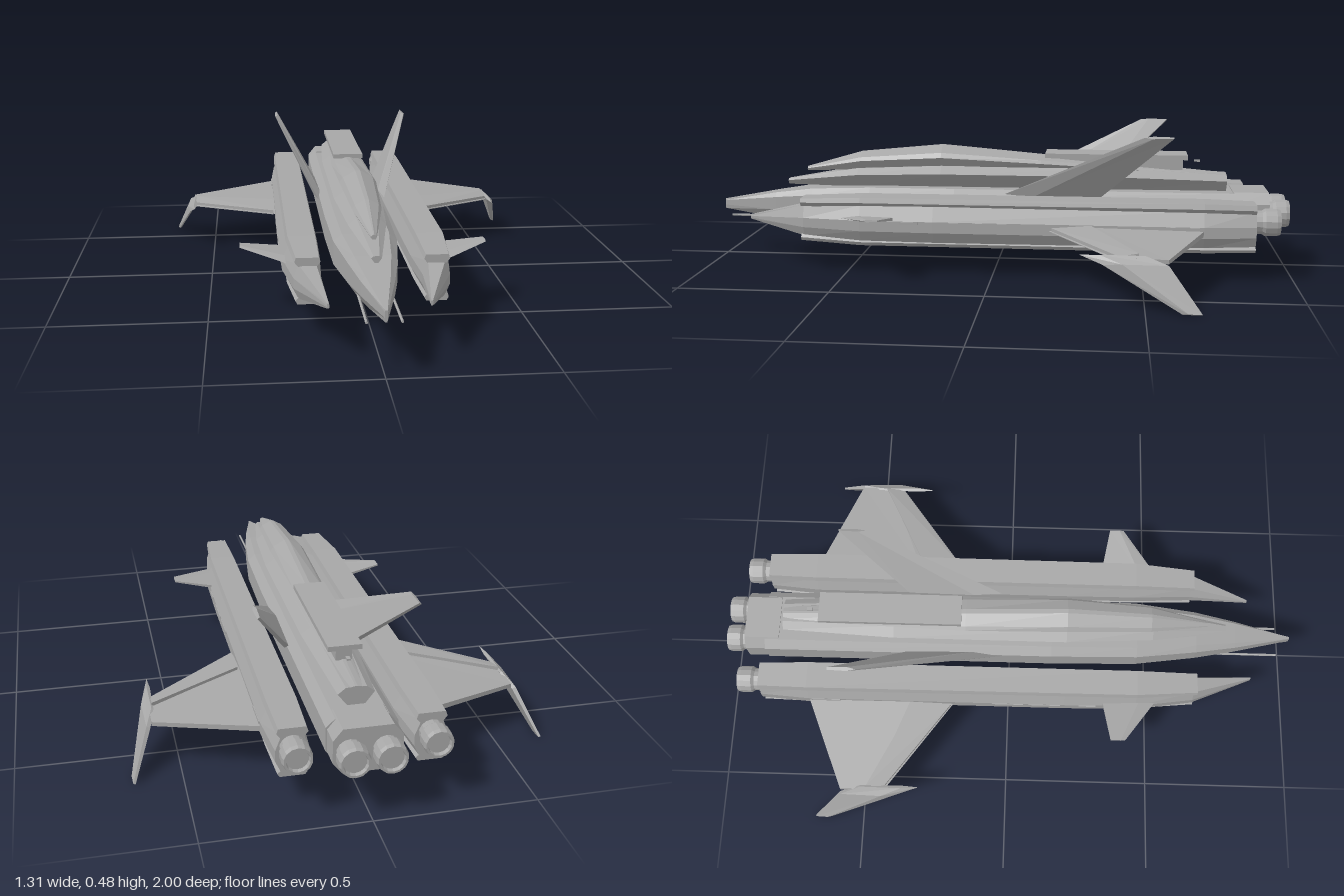
import * as THREE from 'three';

const hull = new THREE.MeshStandardMaterial({ color: 0xa6a6a6, flatShading: true });
hull.name = 'hull grey';

// Skin a list of closed rings ([x, y, z] points), cap both ends and face everything outward.
function loft(rings) {
  const n = rings[0].length, tris = [];
  for (let r = 0; r < rings.length - 1; r++) {
    const a = rings[r], b = rings[r + 1];
    for (let i = 0; i < n; i++) {
      const j = (i + 1) % n;
      tris.push([a[i], b[i], b[j]], [a[i], b[j], a[j]]);
    }
  }
  const centre = ring => [0, 1, 2].map(k => ring.reduce((s, p) => s + p[k], 0) / n);
  const first = rings[0], last = rings[rings.length - 1];
  const cf = centre(first), cl = centre(last);
  for (let i = 0; i < n; i++) {
    const j = (i + 1) % n;
    tris.push([cf, first[i], first[j]], [cl, last[j], last[i]]);
  }
  const v = p => new THREE.Vector3(...p);
  const volume = tris.reduce((s, [a, b, c]) => s + v(a).sub(v(cf)).dot(v(b).sub(v(cf)).cross(v(c).sub(v(cf)))), 0);
  if (volume < 0) tris.forEach(t => t.reverse());
  const geo = new THREE.BufferGeometry();
  geo.setAttribute('position', new THREE.Float32BufferAttribute(tris.flat(2), 3));
  geo.computeVertexNormals();
  return geo;
}

// Mirror a half outline (bottom to top, x >= 0) into a full ring.
const full = half => [...half, ...half.slice().reverse().map(([x, y]) => [-x, y])];

// Sections are [z, centre x, width scale, bottom y, top y]; outline y runs from 0 to 1.
const body = (half, sections) => loft(sections.map(([z, cx, sx, y0, y1]) =>
  full(half).map(([x, y]) => [cx + x * sx, y0 + y * (y1 - y0), z])));

// A thin blade between two edges, each [x, y, z front, z back, half thickness], offset along (nx, ny).
const blade = (edges, nx, ny) => loft(edges.map(([x, y, zf, zb, t]) => {
  const zm = zf + (zb - zf) * 0.3;
  return [[x, y, zf], [x + nx * t, y + ny * t, zm], [x + nx * t * 0.6, y + ny * t * 0.6, zb],
    [x - nx * t * 0.6, y - ny * t * 0.6, zb], [x - nx * t, y - ny * t, zm]];
}));

const box = (w, h, d, x, y, z) => new THREE.BoxGeometry(w, h, d).translate(x, y, z);

export function createModel() {
  const model = new THREE.Group();
  model.name = 'spacecraft';
  const add = (name, geo) => {
    const mesh = new THREE.Mesh(geo, hull);
    mesh.name = name;
    model.add(mesh);
  };

  // Central fuselage
  const hullOutline = [[0.06, 0], [0.108, 0.37], [0.108, 0.84], [0.08, 1]];
  add('fuselage', body(hullOutline, [
    [1, 0, 0.04, 0.17, 0.205], [0.8, 0, 0.46, 0.143, 0.238], [0.66, 0, 0.7, 0.125, 0.258],
    [0.45, 0, 0.94, 0.107, 0.268], [0.15, 0, 1, 0.105, 0.27], [-0.86, 0, 1, 0.105, 0.27]]));

  // Stacked dorsal decks
  add('lowerDeck', body([[0.03, 0], [0.08, 0.7], [0.045, 1]], [
    [0.76, 0, 0.2, 0.265, 0.285], [0.5, 0, 0.75, 0.262, 0.33], [0.2, 0, 1, 0.262, 0.345],
    [-0.4, 0, 1, 0.262, 0.345], [-0.79, 0, 0.7, 0.262, 0.327]]));
  add('upperDeck', body([[0.035, 0], [0.062, 0.52], [0.05, 0.72], [0.008, 1]], [
    [0.69, 0, 0.15, 0.315, 0.33], [0.49, 0, 0.75, 0.325, 0.387], [0.2, 0, 1, 0.332, 0.415],
    [-0.15, 0, 1, 0.332, 0.385], [-0.79, 0, 0.45, 0.315, 0.33]]));
  add('dorsalPlate', box(0.106, 0.016, 0.49, 0, 0.387, -0.41));
  add('dorsalPlateMount', box(0.05, 0.04, 0.46, 0, 0.36, -0.41));
  add('dorsalSensor', box(0.012, 0.006, 0.02, 0, 0.37, -0.69));

  // Engine block
  add('engineBlock', body([[0.075, 0], [0.104, 0.25], [0.104, 0.75], [0.075, 1]],
    [[-0.81, 0, 1, 0.13, 0.274], [-0.93, 0, 1, 0.13, 0.274]]));

  // Nozzle with a flared lip and a recessed exhaust
  const nozzle = (x, y, z, r, length) => new THREE.LatheGeometry([
    [0, 0], [r * 0.85, 0], [r * 0.85, length * 0.3], [r, length * 0.42],
    [r, length * 0.85], [r * 0.92, length], [r * 0.78, length], [r * 0.72, length * 0.85], [0, length * 0.85],
  ].map(p => new THREE.Vector2(...p)), 14).rotateX(-Math.PI / 2).translate(x, y, z);

  for (const s of [1, -1]) {
    const side = s > 0 ? 'left' : 'right';
    const part = (name, geo) => add(side + name, geo);

    part('MainNozzle', nozzle(s * 0.054, 0.2, -0.92, 0.048, 0.08));
    part('Gun', new THREE.CylinderGeometry(0.004, 0.004, 0.3, 6).rotateX(Math.PI / 2).translate(s * 0.05, 0.156, 0.81));

    // Side pod with its inward-leaning nose
    const pod = [[0.042, 0], [0.063, 0.3], [0.063, 0.6], [0.04, 1]];
    part('Pod', body(pod, [
      [0.86, s * 0.148, 0.06, 0.165, 0.18], [0.65, s * 0.195, 0.66, 0.125, 0.232],
      [0.45, s * 0.205, 0.95, 0.117, 0.238], [0.2, s * 0.206, 1, 0.115, 0.24],
      [-0.7, s * 0.206, 1, 0.115, 0.24], [-0.87, s * 0.207, 0.8, 0.12, 0.24]]));
    part('PodTopRail', body([[0.038, 0], [0.052, 0.5], [0.046, 1]], [
      [0.66, s * 0.195, 0.75, 0.228, 0.255], [0.45, s * 0.203, 0.95, 0.23, 0.265],
      [-0.7, s * 0.206, 1, 0.23, 0.266], [-0.87, s * 0.207, 0.9, 0.23, 0.262]]));
    part('PodBottomRail', body([[0.042, 0], [0.05, 0.5], [0.036, 1]], [
      [0.66, s * 0.195, 0.75, 0.11, 0.132], [0.45, s * 0.203, 0.95, 0.1, 0.124],
      [-0.7, s * 0.206, 1, 0.1, 0.124], [-0.87, s * 0.207, 0.9, 0.104, 0.126]]));
    part('PodNozzle', nozzle(s * 0.207, 0.2, -0.865, 0.046, 0.085));

    // Slim slots along the outside of the pod
    for (const [z, length] of [[0.28, 0.06], [0.13, 0.11], [0, 0.11], [-0.64, 0.1]])
      part('PodSlot', box(0.006, 0.008, length, s * 0.269, 0.185, z));

    // Swept main wing, leading-edge strip and drooping winglet
    part('Wing', blade([[s * 0.24, 0.17, -0.17, -0.71, 0.015], [s * 0.58, 0.15, -0.42, -0.57, 0.011]], 0, 1));
    part('WingLeadingEdge', loft([[0.275, 0.172, -0.2, -0.33], [0.57, 0.154, -0.42, -0.48]].map(([x, y, zf, zb]) =>
      [[s * x, y - 0.008, zf], [s * x, y + 0.008, zf], [s * x, y + 0.019, zb], [s * x, y - 0.008, zb]])));
    part('Winglet', blade([[s * 0.57, 0.165, -0.3, -0.5, 0.006], [s * 0.59, 0.14, -0.37, -0.57, 0.011],
      [s * 0.648, 0.008, -0.61, -0.67, 0.006]], s * 0.9, 0.43));

    // Forward canard
    part('Canard', blade([[s * 0.24, 0.193, 0.525, 0.33, 0.009], [s * 0.397, 0.218, 0.41, 0.36, 0.004]], -s * 0.16, 0.98));

    // Outward-canted tail fin
    part('TailFin', blade([[s * 0.118, 0.262, -0.03, -0.36, 0.013], [s * 0.25, 0.482, -0.5, -0.595, 0.007]], s * 0.86, -0.5));
  }
  return model;
}
